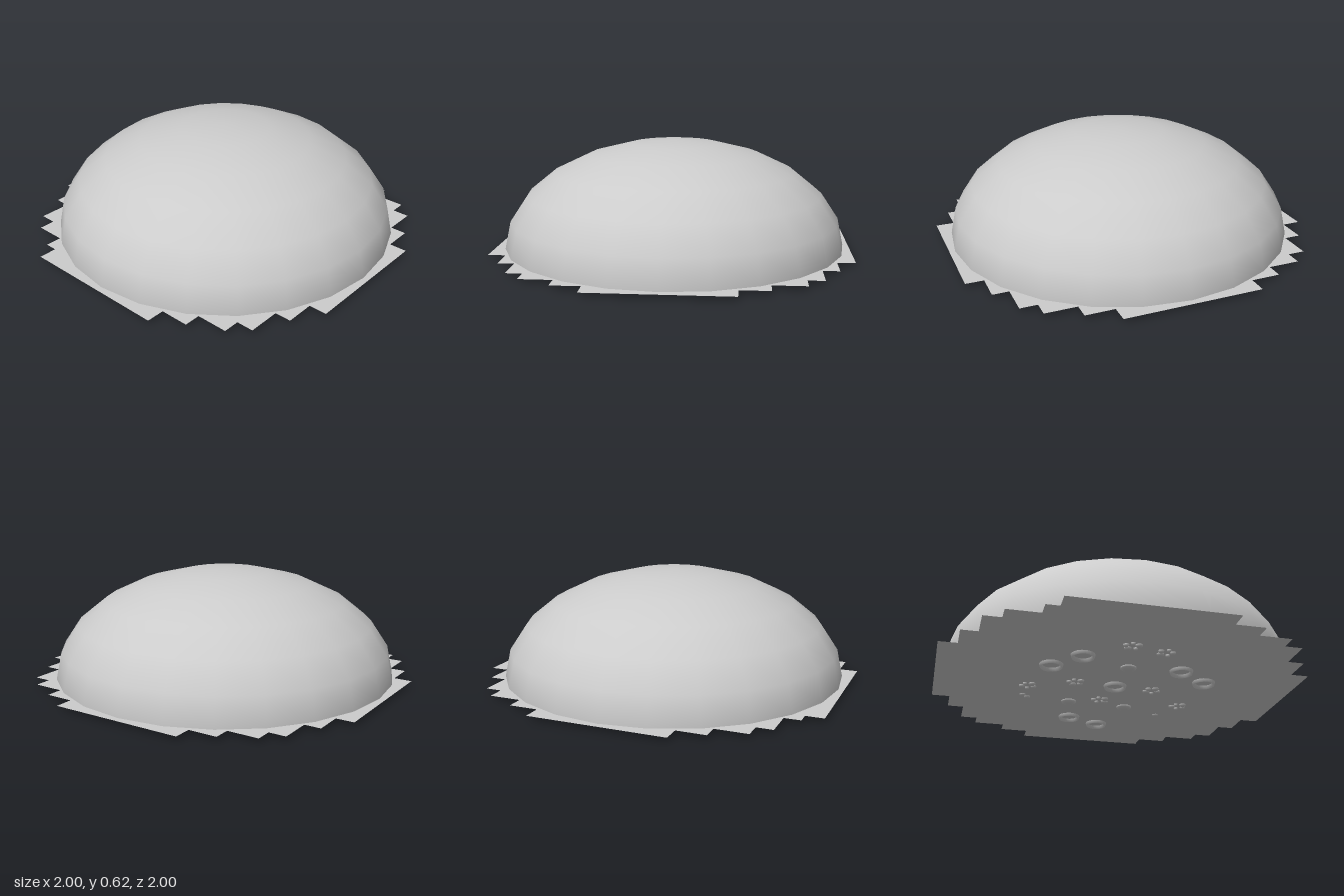
import * as THREE from 'three';

const material = new THREE.MeshStandardMaterial({ color: 0xcccccc, side: THREE.DoubleSide });
const PLATE_Y = 0.022;

function addMesh(parent, geometry, name, x = 0, y = 0, z = 0) {
  const mesh = new THREE.Mesh(geometry, material);
  mesh.name = name;
  mesh.position.set(x, y, z);
  parent.add(mesh);
  return mesh;
}

// Stair-stepped outline of the thin ground plate, walked in the x-z plane
function plateGeometry() {
  const steps = [[1, 0.38], [0.9, 0.54], [0.81, 0.715], [0.72, 0.81], [0.54, 0.9], [0.38, 1]];
  const quarter = [];
  steps.forEach(([x, z], i) => {
    if (i > 0) quarter.push([x, steps[i - 1][1]]);
    quarter.push([x, z]);
  });
  const back = [...quarter].reverse();
  const outline = [
    ...quarter,
    ...back.map(([x, z]) => [-x, z]),
    ...quarter.map(([x, z]) => [-x, x === 1 ? -0.47 : (x === 0.9 && z === 0.38 ? -0.47 : -z)]),
    ...back.map(([x, z]) => [x, -z]),
  ];
  const shape = new THREE.Shape(outline.map(([x, z]) => new THREE.Vector2(x, z)));
  return new THREE.ShapeGeometry(shape).rotateX(Math.PI / 2);
}

// Shallow half-ellipsoid hanging below the plate
function bumpGeometry(radius, depth) {
  return new THREE.SphereGeometry(1, 12, 4, 0, Math.PI * 2, Math.PI / 2, Math.PI / 2)
    .scale(radius, depth, radius);
}

// Low crater rim around a flat floor
function craterGeometry(radius) {
  const profile = [[0.72, 0], [0.82, -0.016], [0.92, -0.018], [1, 0]];
  return new THREE.LatheGeometry(profile.map(([r, y]) => new THREE.Vector2(r * radius, y)), 20);
}

export function createModel() {
  const model = new THREE.Group();
  model.name = 'domeOnPlate';

  // Flattened hemisphere
  const dome = new THREE.SphereGeometry(1, 24, 6, 0, Math.PI * 2, 0, Math.PI / 2).scale(0.97, 0.6, 0.97);
  addMesh(model, dome, 'dome', 0, 0.025, 0);

  addMesh(model, plateGeometry(), 'plate', 0, PLATE_Y, 0);

  // Relief on the underside
  const relief = new THREE.Group();
  relief.name = 'undersideRelief';
  relief.position.y = PLATE_Y;
  model.add(relief);

  const craters = [[-0.22, -0.4], [-0.38, -0.26], [-0.29, 0.3], [-0.16, 0.47], [0.56, -0.16], [0.65, 0.03], [0, 0]];
  craters.forEach(([x, z]) => addMesh(relief, craterGeometry(0.065), 'crater', x, 0, z));

  const bumps = [[-0.27, 0.01], [0.3, -0.21], [0.32, 0.13]];
  bumps.forEach(([x, z]) => addMesh(relief, bumpGeometry(0.045, 0.022), 'bump', x, 0, z));

  const pebbles = [[0.28, -0.46], [0.41, 0.35], [0.26, 0], [0.25, -0.49]];
  pebbles.forEach(([x, z]) => addMesh(relief, bumpGeometry(0.018, 0.012), 'pebble', x, 0, z));

  // Clusters of small pebbles
  const clusters = [[0.1, -0.48], [-0.01, -0.23], [-0.55, -0.04], [-0.51, 0.15], [0.02, 0.22], [0.23, 0.44], [0.23, -0.04]];
  clusters.forEach(([x, z], c) => {
    for (let i = 0; i < 5; i++) {
      const angle = c + i * Math.PI * 0.4;
      const radius = 0.012 + 0.004 * ((i + c) % 3);
      addMesh(relief, bumpGeometry(radius, 0.015), 'clusterPebble',
        x + 0.035 * Math.cos(angle), 0, z + 0.035 * Math.sin(angle));
    }
  });

  return model;
}
